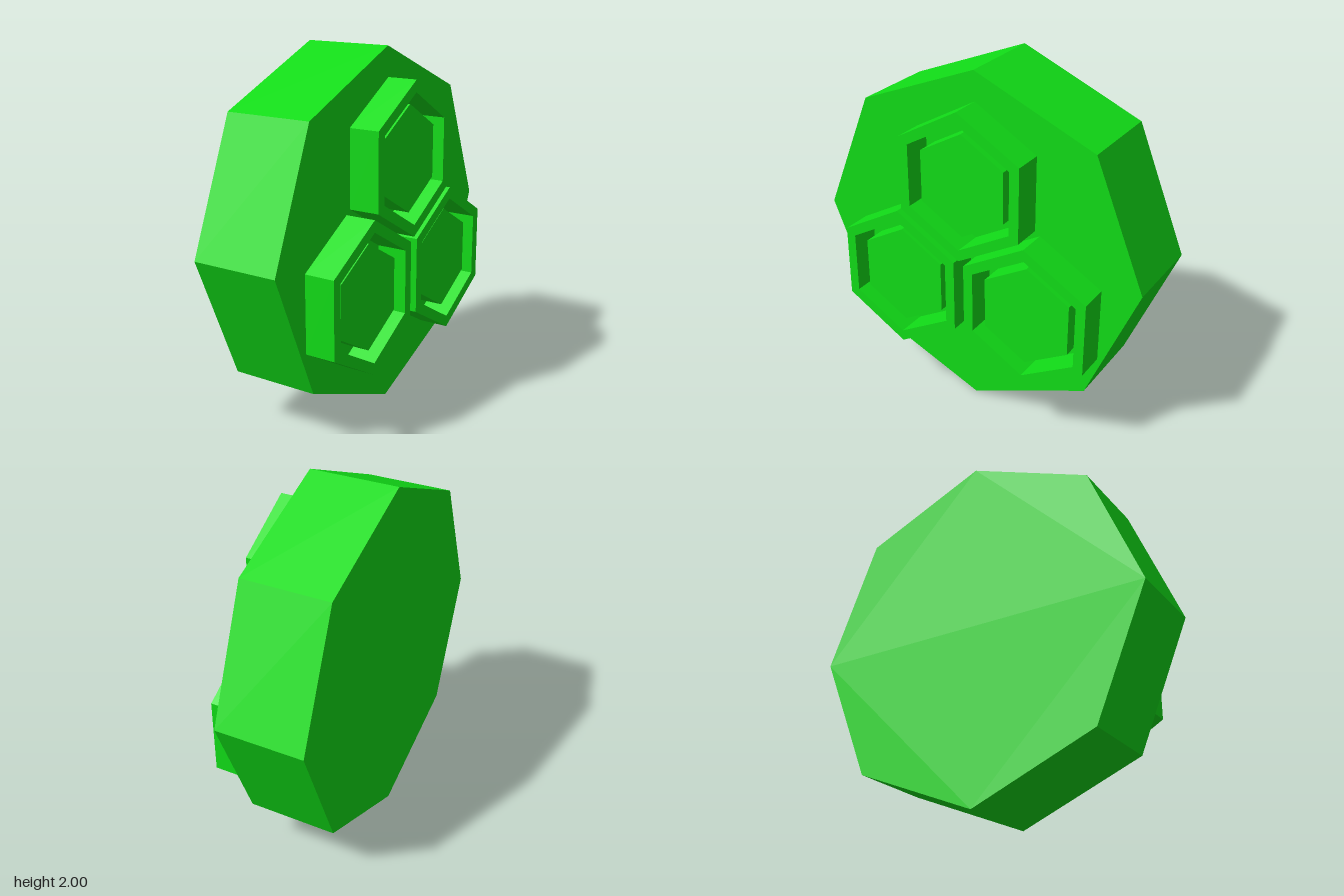
import * as THREE from 'three';

// Regular polygon outline with one corner pointing straight up
function polygon(PathType, sides, radius) {
  const pts = [];
  for (let i = 0; i < sides; i++) {
    const a = Math.PI / 2 + (i / sides) * Math.PI * 2;
    pts.push(new THREE.Vector2(Math.cos(a) * radius, Math.sin(a) * radius));
  }
  return new PathType(pts);
}

// Polygonal prism running along x from x0 to x1, with an optional hole
function prism(sides, radius, x0, x1, holeRadius = 0) {
  const shape = polygon(THREE.Shape, sides, radius);
  if (holeRadius) shape.holes.push(polygon(THREE.Path, sides, holeRadius));
  const geo = new THREE.ExtrudeGeometry(shape, { depth: x1 - x0, bevelEnabled: false });
  geo.rotateY(Math.PI / 2);
  geo.translate(x0, 0, 0);
  return geo;
}

export function createModel() {
  const model = new THREE.Group();
  model.name = 'octagonalPlateWithHexagons';
  const green = new THREE.MeshStandardMaterial({ color: 0x11dd17, flatShading: true });

  const add = (parent, name, geo, y = 0, z = 0) => {
    const mesh = new THREE.Mesh(geo, green);
    mesh.name = name;
    mesh.position.set(0, y, z);
    parent.add(mesh);
  };

  // Thick octagonal body
  const face = 0.165;
  add(model, 'octagonBody', prism(8, 1, -0.337, face), 1);

  // Three hexagonal buttons: a raised rim around a slightly lower pad
  const rim = prism(6, 0.426, face, 0.337, 0.36);
  const pad = prism(6, 0.295, face, 0.3);
  const buttons = [
    ['topButton', 1.408, -0.007],
    ['frontButton', 0.747, 0.394],
    ['backButton', 0.747, -0.406],
  ];
  for (const [name, y, z] of buttons) {
    const button = new THREE.Group();
    button.name = name;
    button.position.set(0, y, z);
    add(button, 'hexagonRim', rim);
    add(button, 'hexagonPad', pad);
    model.add(button);
  }
  return model;
}
